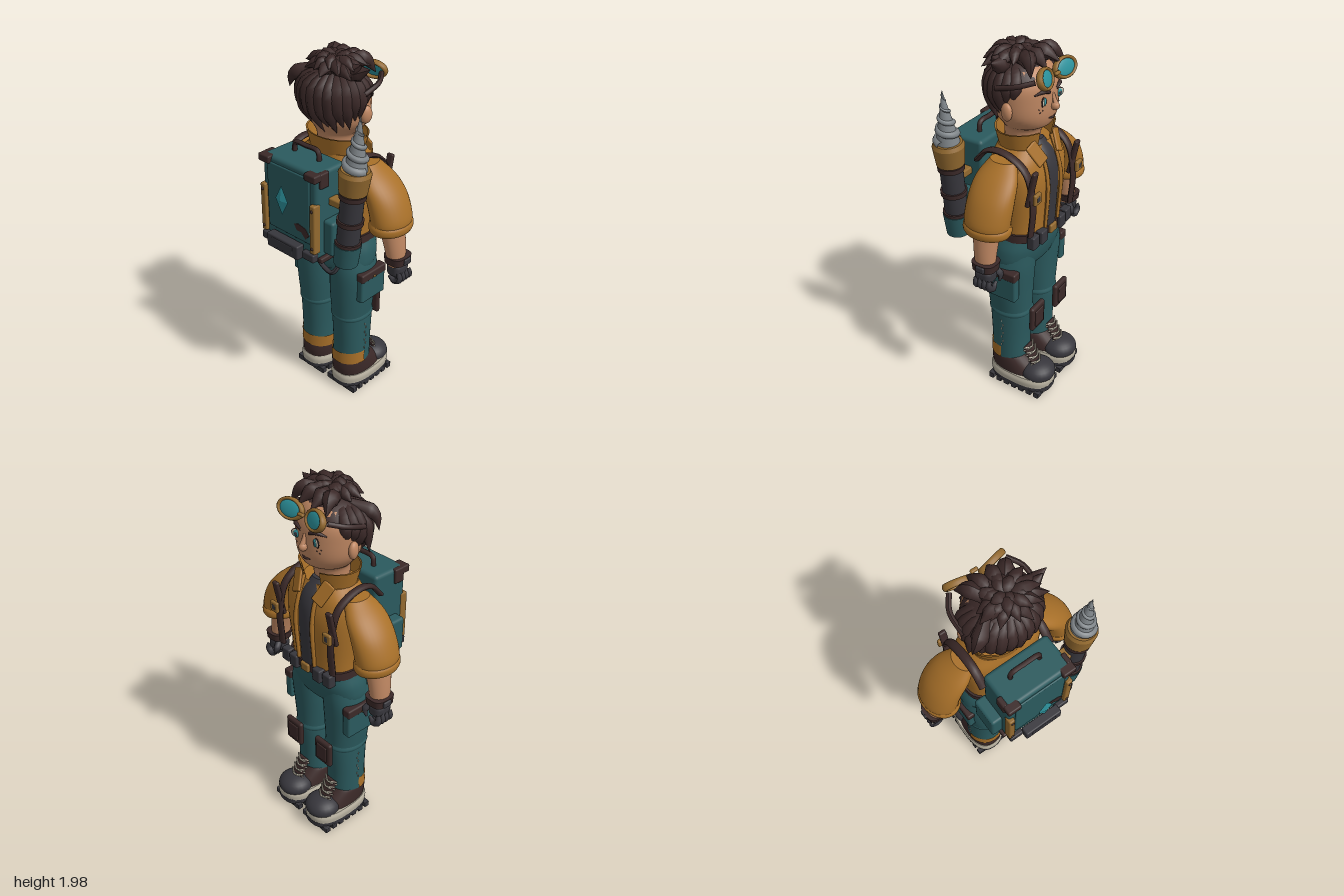
import * as THREE from 'three';
import { RoundedBoxGeometry } from 'three/addons/geometries/RoundedBoxGeometry.js';

const mat = (name, color, side = THREE.FrontSide) => {
  const m = new THREE.MeshStandardMaterial({ color, side });
  m.name = name;
  return m;
};
const V = (a) => new THREE.Vector3(...a);

// Smooth body through horizontal rings [x, y, z, rx, rz], listed bottom to top; e > 2 is boxier
function loft(rings, e = 2, n = 32, rows = rings.length * 4) {
  const mid = new THREE.CatmullRomCurve3(rings.map((r) => V(r.slice(0, 3))), false, 'catmullrom');
  const rad = new THREE.CatmullRomCurve3(rings.map((r) => V([r[3], r[4], 0])), false, 'catmullrom');
  const pos = [], idx = [];
  const pw = (v) => Math.sign(v) * Math.abs(v) ** (2 / e);
  for (let i = 0; i <= rows; i++) {
    const c = mid.getPoint(i / rows), r = rad.getPoint(i / rows);
    for (let j = 0; j < n; j++) {
      const a = (j / n) * Math.PI * 2;
      pos.push(c.x + pw(Math.cos(a)) * r.x, c.y, c.z + pw(Math.sin(a)) * r.y);
      const p = i * n + j, q = i * n + ((j + 1) % n);
      if (i < rows) idx.push(p, p + n, q, q, p + n, q + n);
    }
  }
  // end caps with their own vertices, so that their edges stay sharp
  for (const [row, top] of [[0, false], [rows, true]]) {
    const s = pos.length / 3, c = mid.getPoint(row / rows);
    for (let j = 0; j < n; j++) pos.push(...pos.slice((row * n + j) * 3, (row * n + j) * 3 + 3));
    pos.push(c.x, c.y, c.z);
    for (let j = 0; j < n; j++) {
      const q = s + ((j + 1) % n);
      idx.push(s + n, top ? q : s + j, top ? s + j : q);
    }
  }
  const g = new THREE.BufferGeometry();
  g.setAttribute('position', new THREE.Float32BufferAttribute(pos, 3));
  g.setIndex(idx);
  g.computeVertexNormals();
  return g;
}

// Tube whose radius changes along its path
function taper(points, radii, n = 12, m = 8) {
  const curve = new THREE.CatmullRomCurve3(points.map(V));
  const g = new THREE.TubeGeometry(curve, n, 1, m), p = g.attributes.position;
  for (let i = 0; i <= n; i++) {
    const c = curve.getPointAt(i / n), f = (i / n) * (radii.length - 1);
    const k = Math.min(Math.floor(f), radii.length - 2);
    const r = THREE.MathUtils.lerp(radii[k], radii[k + 1], f - k);
    for (let j = 0; j <= m; j++) {
      const id = i * (m + 1) + j;
      const v = new THREE.Vector3().fromBufferAttribute(p, id).sub(c).multiplyScalar(r).add(c);
      p.setXYZ(id, v.x, v.y, v.z);
    }
  }
  g.computeVertexNormals();
  return g;
}
const ball = (rx, ry, rz) => new THREE.SphereGeometry(1, 24, 16).scale(rx, ry, rz);
const box = (w, h, d, r = 0.008) => new RoundedBoxGeometry(w, h, d, 2, Math.min(r, w / 2.1, h / 2.1, d / 2.1));
const cyl = (a, b, h) => new THREE.CylinderGeometry(a, b, h, 28);

export function createModel() {
  const root = new THREE.Group();
  const teal = mat('teal cloth', 0x2b5a5e), orange = mat('ochre jacket', 0xa87029, THREE.DoubleSide);
  const skin = mat('skin', 0xbf8762), brown = mat('dark brown', 0x3b2928, THREE.DoubleSide);
  const dark = mat('charcoal', 0x37363c), cream = mat('cream', 0xb8b1a0), steel = mat('steel', 0x7f8589);
  const cyan = mat('cyan glow', 0x2c919b), gold = mat('brass', 0x92692f);
  const add = (geo, m, name, x = 0, y = 0, z = 0, parent = root) => {
    const o = new THREE.Mesh(geo, m);
    o.name = name;
    o.position.set(x, y, z);
    parent.add(o);
    return o;
  };

  // Trunk
  add(loft([[0, 0.79, -0.065, 0.12, 0.1], [0, 0.83, -0.065, 0.225, 0.13], [0, 0.92, -0.08, 0.235, 0.14],
    [0, 1.0, -0.09, 0.21, 0.135]], 2.3), teal, 'hips');
  add(loft([[0, 0.98, -0.085, 0.2, 0.135], [0, 1.1, -0.085, 0.205, 0.14], [0, 1.3, -0.085, 0.225, 0.15],
    [0, 1.41, -0.075, 0.22, 0.135], [0, 1.48, -0.065, 0.15, 0.11]], 2.6), orange, 'jacket');
  add(loft([[0, 1.03, -0.215, 0.05, 0.02], [0, 1.3, -0.223, 0.052, 0.02], [0, 1.42, -0.2, 0.05, 0.02],
    [0, 1.5, -0.14, 0.04, 0.02]]), dark, 'shirt');
  for (const [r0, r1] of [[1, 0.8], [0.95, 0.76]])
    add(new THREE.CylinderGeometry(r0, r1, 0.13, 40, 1, true, Math.PI + 0.4, Math.PI * 2 - 0.8)
      .scale(0.175, 1, 0.138), orange, 'collar', 0, 1.5, -0.065);
  add(loft([[0, 0.99, -0.085, 0.213, 0.148], [0, 1.035, -0.085, 0.213, 0.148]], 2.6), brown, 'belt');
  for (const x of [-0.16, -0.09, 0.09, 0.16]) add(box(0.058, 0.075, 0.045), dark, 'beltPouch', x, 1.005, -0.235 + Math.abs(x) * 0.1);
  add(box(0.06, 0.05, 0.02), gold, 'beltBuckle', 0, 1.012, -0.238);

  for (const s of [1, -1]) {
    // Jacket front, straps and sleeves
    add(taper([[s * 0.06, 1.04, -0.228], [s * 0.062, 1.3, -0.238], [s * 0.06, 1.42, -0.21], [s * 0.07, 1.5, -0.17]],
      [0.01, 0.012, 0.01]), orange, 'jacketEdge');
    const lapel = add(box(0.07, 0.12, 0.014), orange, 'lapel', s * 0.095, 1.465, -0.192);
    lapel.rotation.set(0.4, s * -0.3, s * -0.35);
    add(taper([[0, 1.4, 0.09], [0, 1.47, 0.02], [0, 1.475, -0.08], [0, 1.41, -0.19], [0, 1.25, -0.235], [0, 1.06, -0.225]],
      [0.013, 0.013], 28).scale(1.8, 1, 1).translate(s * 0.195, 0, 0), brown, 'shoulderStrap');
    add(box(0.04, 0.2, 0.022), brown, 'strapPad', s * 0.2, 1.33, -0.23).rotation.x = -0.2;
    add(box(0.056, 0.06, 0.02), gold, 'strapBuckle', s * 0.2, 1.29, -0.262);
    add(box(0.03, 0.034, 0.022), dark, 'buckleSlot', s * 0.2, 1.29, -0.263);
    add(loft([[s * 0.355, 1.14, -0.08, 0.09, 0.115], [s * 0.355, 1.2, -0.08, 0.094, 0.122], [s * 0.32, 1.3, -0.08, 0.087, 0.122],
      [s * 0.265, 1.38, -0.075, 0.075, 0.11], [s * 0.2, 1.45, -0.07, 0.05, 0.07]]), orange, 'sleeve');
    add(loft([[s * 0.357, 1.13, -0.08, 0.094, 0.12], [s * 0.357, 1.145, -0.08, 0.1, 0.127], [s * 0.357, 1.165, -0.08, 0.1, 0.127],
      [s * 0.355, 1.18, -0.08, 0.093, 0.12]]), orange, 'sleeveCuff');
    add(loft([[s * 0.397, 0.93, -0.09, 0.042, 0.05], [s * 0.385, 1.03, -0.085, 0.052, 0.06], [s * 0.36, 1.16, -0.08, 0.065, 0.072]]),
      skin, 'forearm');
    // Gloves
    add(loft([[s * 0.399, 0.945, -0.095, 0.056, 0.062], [s * 0.397, 0.985, -0.095, 0.06, 0.066]], 3), brown, 'gloveCuff');
    add(box(0.02, 0.035, 0.05), dark, 'cuffPlate', s * 0.455, 0.965, -0.1);
    add(box(0.088, 0.085, 0.1, 0.03), dark, 'palm', s * 0.4, 0.905, -0.095);
    for (let i = 0; i < 4; i++) {
      const z = -0.06 - i * 0.026;
      add(taper([[s * 0.435, 0.9, z], [s * 0.44, 0.86, z - 0.004], [s * 0.41, 0.84, z - 0.005], [s * 0.375, 0.86, z]],
        [0.01, 0.018, 0.017, 0.008]), dark, 'finger');
    }
    add(taper([[s * 0.37, 0.93, -0.12], [s * 0.355, 0.9, -0.15], [s * 0.37, 0.865, -0.155]], [0.018, 0.019, 0.005]), dark, 'thumb');

    // Trouser legs
    add(loft([[s * 0.12, 0.18, -0.065, 0.1, 0.105], [s * 0.123, 0.32, -0.065, 0.098, 0.105], [s * 0.122, 0.48, -0.065, 0.1, 0.115],
      [s * 0.122, 0.52, -0.062, 0.101, 0.117], [s * 0.125, 0.66, -0.06, 0.114, 0.124], [s * 0.126, 0.8, -0.063, 0.118, 0.13],
      [s * 0.115, 0.9, -0.07, 0.112, 0.125]], 2.2), teal, 'trouserLeg');
    add(loft([[s * 0.122, 0.495, -0.064, 0.101, 0.115], [s * 0.122, 0.51, -0.064, 0.106, 0.121], [s * 0.122, 0.53, -0.064, 0.1, 0.115]], 2.2),
      teal, 'kneeFold');
    for (const [y, h] of [[0.222, 0.06], [0.258, 0.02]])
      add(new THREE.CylinderGeometry(1, 1, h, 32, 1, true, -Math.PI / 2, Math.PI).scale(0.106, 1, 0.108),
        orange, 'ankleBand', s * 0.12, y, -0.06).rotation.z = s * 0.06;
    add(box(0.05, 0.17, 0.185, 0.012), teal, 'thighPocket', s * 0.235, 0.735, -0.08);
    add(box(0.054, 0.05, 0.19, 0.01), brown, 'pocketFlap', s * 0.237, 0.805, -0.08);
    add(ball(0.006, 0.008, 0.008), gold, 'pocketButton', s * 0.264, 0.793, -0.08);
    add(box(0.125, 0.15, 0.03, 0.014), brown, 'kneePad', s * 0.12, 0.505, -0.225);
    add(box(0.08, 0.1, 0.012), brown, 'kneePadRidge', s * 0.12, 0.505, -0.241);
    for (let i = 0; i < 7; i++)
      add(box(0.006, 0.014, 0.005), cream, 'stitch', s * 0.222, 0.29 + i * 0.028, -0.062 - (i % 2) * 0.01);

    // Boots
    add(loft([[s * 0.122, 0.025, -0.143, 0.11, 0.188], [s * 0.122, 0.058, -0.143, 0.112, 0.19]], 2.6), dark, 'outsole');
    add(loft([[s * 0.122, 0.055, -0.142, 0.113, 0.19], [s * 0.122, 0.085, -0.142, 0.115, 0.191], [s * 0.122, 0.108, -0.142, 0.108, 0.184]], 2.6),
      cream, 'midsole');
    for (let i = 0; i < 7; i++)
      for (const t of [-1, 1]) add(box(0.085, 0.035, 0.032, 0.004), dark, 'tread', s * 0.122 + t * 0.062, 0.0175, 0.01 - i * 0.05);
    add(loft([[s * 0.12, 0.1, -0.115, 0.103, 0.155], [s * 0.12, 0.15, -0.09, 0.103, 0.135], [s * 0.12, 0.195, -0.07, 0.1, 0.11],
      [s * 0.12, 0.21, -0.068, 0.09, 0.1]], 2.4), brown, 'bootUpper');
    add(ball(0.1, 0.062, 0.098), dark, 'toeCap', s * 0.12, 0.115, -0.24);
    add(box(0.08, 0.13, 0.02), brown, 'bootTongue', s * 0.12, 0.21, -0.202).rotation.x = 0.5;
    for (let i = 0; i < 4; i++) {
      const y = 0.165 + i * 0.028, z = -0.24 + i * 0.016;
      for (const t of [-1, 1])
        add(taper([[s * 0.12 - t * 0.048, y, z + 0.02], [s * 0.12, y + 0.014, z - 0.006], [s * 0.12 + t * 0.048, y + 0.02, z + 0.02]],
          [0.005, 0.005], 8, 6), cream, 'lace');
    }

    // Facial features and goggles
    add(ball(0.022, 0.045, 0.032), skin, 'ear', s * 0.178, 1.685, -0.075).rotation.y = s * -0.3;
    const eye = (rx, ry, m, name, z, x = 0.068) => { add(ball(rx, ry, 0.007), m, name, s * x, 1.728, z).rotation.y = s * 0.35; };
    eye(0.034, 0.024, brown, 'eyelid', -0.206);
    eye(0.03, 0.02, cream, 'eyeWhite', -0.2085);
    eye(0.016, 0.019, cyan, 'iris', -0.2125, 0.066);
    eye(0.009, 0.011, dark, 'pupil', -0.2155, 0.066);
    add(taper([[s * 0.03, 1.764, -0.217], [s * 0.07, 1.778, -0.21], [s * 0.115, 1.765, -0.182]], [0.007, 0.011, 0.003]), brown, 'eyebrow');
    for (const [x, y] of [[0.07, 1.685], [0.09, 1.693], [0.084, 1.675]])
      add(ball(0.004, 0.004, 0.003), brown, 'freckle', s * x, y, -0.068 - 0.15 * Math.sqrt(1 - (x / 0.173) ** 2));
    const goggle = new THREE.Group();
    goggle.name = 'goggle';
    goggle.position.set(s * 0.087, 1.85, -0.225);
    goggle.rotation.set(0.35, s * 0.2, 0);
    root.add(goggle);
    add(new THREE.TorusGeometry(0.066, 0.012, 10, 32).scale(1, 0.68, 1.4), gold, 'goggleRim', 0, 0, 0, goggle);
    add(ball(0.064, 0.042, 0.012), cyan, 'goggleLens', 0, 0, -0.004, goggle);
    add(taper([[s * 0.15, 1.85, -0.21], [s * 0.195, 1.83, -0.14], [s * 0.2, 1.8, -0.03]], [0.013, 0.013]), brown, 'goggleStrap');
  }
  add(box(0.04, 0.016, 0.02), gold, 'goggleBridge', 0, 1.852, -0.236);

  // Head
  add(loft([[0, 1.46, -0.05, 0.09, 0.085], [0, 1.55, -0.055, 0.095, 0.095], [0, 1.585, -0.075, 0.125, 0.122], [0, 1.64, -0.072, 0.163, 0.145],
    [0, 1.72, -0.068, 0.174, 0.152], [0, 1.8, -0.065, 0.17, 0.147], [0, 1.87, -0.06, 0.125, 0.11], [0, 1.9, -0.06, 0.04, 0.04]]), skin, 'head');
  add(ball(0.02, 0.022, 0.024), skin, 'nose', 0, 1.69, -0.228);
  add(taper([[0, 1.755, -0.214], [0, 1.72, -0.224], [0, 1.695, -0.235]], [0.008, 0.011, 0.015]), skin, 'noseBridge');
  add(taper([[-0.04, 1.632, -0.206], [0, 1.628, -0.217], [0.04, 1.636, -0.206]], [0.003, 0.006, 0.003]), brown, 'mouth');

  // Hair: cap, draped back locks, tousled crown and fringe
  add(new THREE.SphereGeometry(1, 32, 20, 0, Math.PI * 2, 0, 1.65).rotateX(0.7).scale(0.188, 0.16, 0.17), brown, 'hairCap', 0, 1.755, -0.05);
  for (let i = 0; i < 17; i++) {
    const a = -2 + i * 0.25, sx = Math.sin(a), cz = Math.cos(a), low = 1.585 + 0.035 * a * a + (i % 2) * 0.02;
    add(taper([[0.02 + sx * 0.05, 1.885, -0.03 + cz * 0.04], [sx * 0.165, 1.81, -0.045 + cz * 0.14],
      [sx * 0.175, (low + 1.8) / 2, -0.045 + cz * 0.135], [sx * 0.145 + 0.02, low, -0.05 + cz * 0.095]], [0.02, 0.038, 0.034, 0.001]), brown, 'backLock');
  }
  for (let i = 0; i < 26; i++) {
    const a = i * 2.4, r = 0.07 + 0.1 * Math.sqrt(i / 26), sx = Math.sin(a), cz = Math.cos(a);
    const top = 1.985 - r * 0.35 + (i % 3) * 0.008;
    add(taper([[0.01, 1.87, -0.03], [0.025 + sx * r * 0.55, top - 0.015, -0.025 + cz * r * 0.5],
      [0.035 + sx * r * 1.1, top - 0.02 - r * 0.12, -0.025 + cz * r * 0.92]], [0.03, 0.042, 0.03, 0.001]), brown, 'crownLock');
  }
  for (const [x, y, z] of [[-0.13, 1.87, -0.2], [-0.05, 1.885, -0.22], [0.05, 1.88, -0.21], [0.14, 1.86, -0.18]])
    add(taper([[x * 0.3, 1.9, -0.06], [x * 0.7, 1.925, -0.14], [x, y, z]], [0.03, 0.042, 0.002]), brown, 'fringeLock');
  for (const [x, y, z] of [[-0.205, 1.66, 0.0], [-0.215, 1.76, 0.05], [0.2, 1.95, -0.01], [0.235, 1.93, -0.03]])
    add(taper([[x * 0.4, 1.87, -0.02], [x * 0.85, (y + 1.9) / 2, z], [x, y, z]], [0.03, 0.04, 0.001]), brown, 'strayLock');

  // Backpack
  add(box(0.37, 0.47, 0.205, 0.02), teal, 'packBody', 0, 1.255, 0.172);
  add(box(0.29, 0.36, 0.012), teal, 'packPanel', 0, 1.28, 0.278);
  add(taper([[-0.085, 1.48, 0.15], [-0.075, 1.535, 0.15], [0, 1.54, 0.15], [0.075, 1.535, 0.15], [0.085, 1.48, 0.15]], [0.013, 0.013], 30), brown, 'packHandle');
  add(box(0.4, 0.03, 0.17), brown, 'packBase', 0, 1.01, 0.17);
  add(box(0.22, 0.078, 0.05), dark, 'packBumper', 0, 1.052, 0.31);
  add(box(0.15, 0.05, 0.01), dark, 'bumperPlate', 0, 1.052, 0.332);
  for (const s of [1, -1]) {
    add(box(0.07, 0.19, 0.155, 0.015), teal, 'sidePouch', s * 0.21, 1.135, 0.147);
    add(box(0.035, 0.27, 0.045), gold, 'packRail', s * 0.172, 1.195, 0.272);
    for (const y of [1.09, 1.3]) add(ball(0.008, 0.008, 0.006), brown, 'railBolt', s * 0.172, y, 0.295);
    add(box(0.075, 0.04, 0.05), brown, 'cornerCap', s * 0.158, 1.47, 0.27);
    add(box(0.03, 0.08, 0.06), brown, 'cornerCap', s * 0.183, 1.45, 0.225);
    add(box(0.08, 0.045, 0.04), dark, 'lowerCorner', s * 0.145, 1.035, 0.28);
  }
  add(new THREE.OctahedronGeometry(1).scale(0.043, 0.08, 0.012), cyan, 'crystal', 0, 1.31, 0.325);
  const patch = new THREE.Shape([[-0.05, 0.02], [-0.02, 0.03], [0.03, 0.02], [0.055, -0.01], [0.03, -0.04], [0, -0.01], [-0.03, -0.01]].map((p) => new THREE.Vector2(...p)));
  add(new THREE.ExtrudeGeometry(patch, { depth: 0.004, bevelEnabled: false }), brown, 'packPatch', 0.09, 1.16, 0.282);

  // Drill beside the pack, leaning outwards
  const drill = new THREE.Group();
  drill.name = 'drill';
  drill.position.set(0.275, 1.0, 0.16);
  drill.rotation.z = -0.095;
  root.add(drill);
  add(cyl(0.07, 0.062, 0.12), teal, 'drillBase', 0, 0.06, 0, drill);
  add(cyl(0.058, 0.058, 0.32), dark, 'drillBarrel', 0, 0.27, 0, drill);
  for (const y of [0.125, 0.25, 0.395]) add(cyl(0.067, 0.067, 0.025), brown, 'drillRing', 0, y, 0, drill);
  add(cyl(0.08, 0.07, 0.1), gold, 'drillCollar', 0, 0.465, 0, drill);
  add(cyl(0.07, 0.08, 0.02), gold, 'drillCollarTop', 0, 0.525, 0, drill);
  add(new THREE.ConeGeometry(0.06, 0.28, 28), steel, 'drillBit', 0, 0.665, 0, drill);
  const helix = [];
  for (let i = 0; i <= 48; i++) {
    const t = i / 48, a = t * Math.PI * 9, r = 0.053 * (1 - t);
    helix.push([Math.cos(a) * r, 0.54 + t * 0.265, Math.sin(a) * r]);
  }
  add(taper(helix, [0.021, 0.017, 0.012, 0.002], 120), steel, 'drillThread', 0, 0, 0, drill);
  add(box(0.1, 0.04, 0.06), gold, 'drillBracket', 0.23, 1.32, 0.16);
  add(taper([[0.1, 1.0, 0.2], [0.17, 0.965, 0.22], [0.25, 0.96, 0.23], [0.275, 1.02, 0.19]], [0.012, 0.012], 20), dark, 'hose');
  return root;
}
